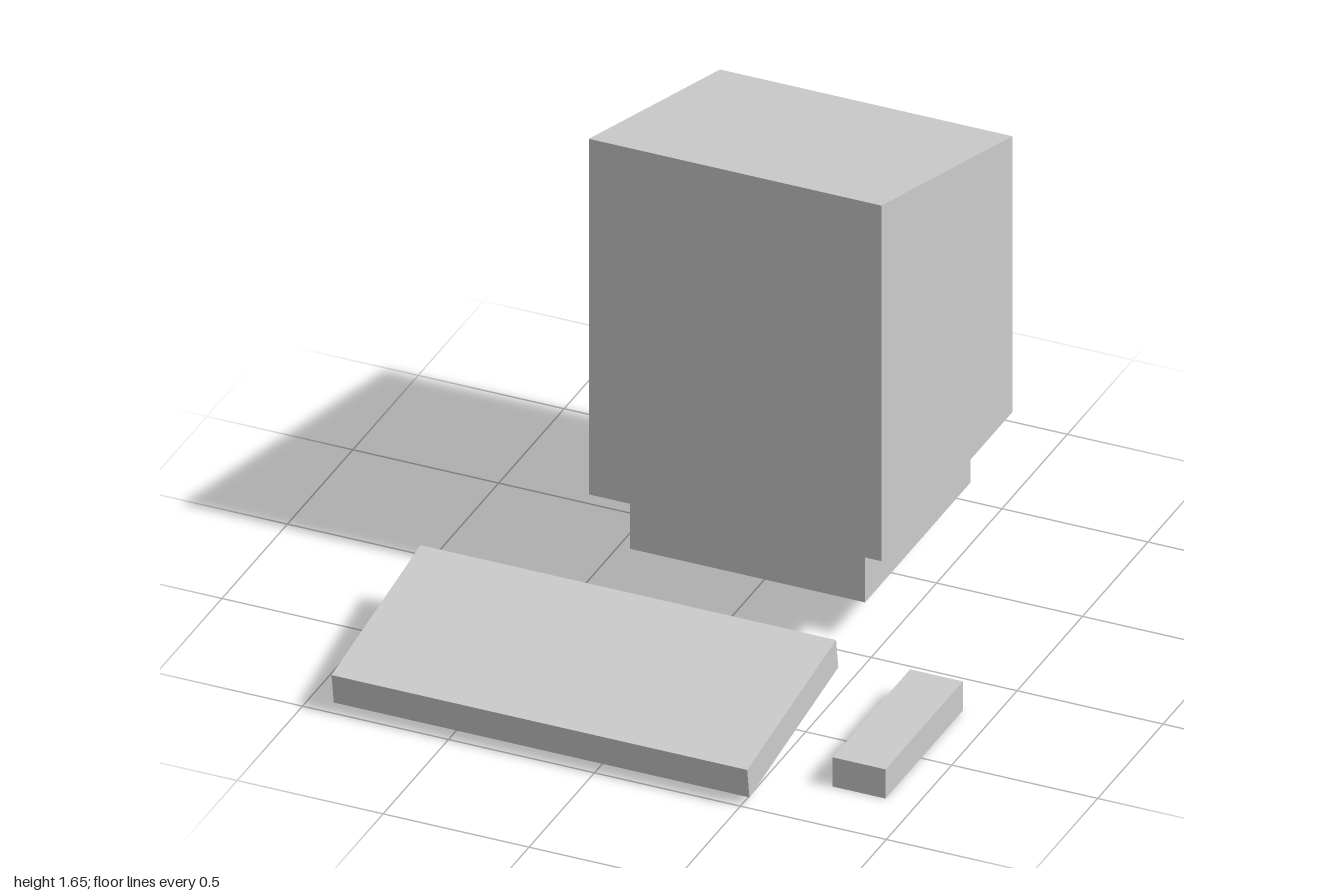
import * as THREE from 'three';

const material = new THREE.MeshStandardMaterial({ color: 0xcccccc, flatShading: true });

// Box spanning the given [min, max] ranges
function box(name, [x0, x1], [y0, y1], [z0, z1]) {
  const mesh = new THREE.Mesh(new THREE.BoxGeometry(x1 - x0, y1 - y0, z1 - z0), material);
  mesh.position.set((x0 + x1) / 2, (y0 + y1) / 2, (z0 + z1) / 2);
  mesh.name = name;
  return mesh;
}

export function createModel() {
  const model = new THREE.Group();
  model.name = 'desktopComputer';

  // Monitor: side profile (z, y) with a top sloping down to the back, swept along x
  const profile = new THREE.Shape([
    [-1, 0.36], [0.003, 0.36], [0.003, 1.652], [-1, 1.362],
  ].map(([z, y]) => new THREE.Vector2(z, y)));
  const shell = new THREE.ExtrudeGeometry(profile, { depth: 1.002, bevelEnabled: false });
  shell.rotateY(-Math.PI / 2).translate(0.536, 0, 0);
  const monitor = new THREE.Mesh(shell, material);
  monitor.name = 'monitor';
  model.add(monitor);

  // Stand under the monitor
  model.add(box('monitorStand', [-0.368, 0.438], [0.135, 0.36], [-0.897, -0.092]));

  // Keyboard slab, tilted down towards the front
  const keyboard = box('keyboard', [-0.9, 0.524], [0.081, 0.191], [0.309, 0.997]);
  keyboard.position.y = 0.136;
  keyboard.rotation.x = 0.153;
  model.add(keyboard);

  // Mouse beside the keyboard
  model.add(box('mouse', [0.714, 0.895], [0, 0.106], [0.18, 0.772]));

  return model;
}
